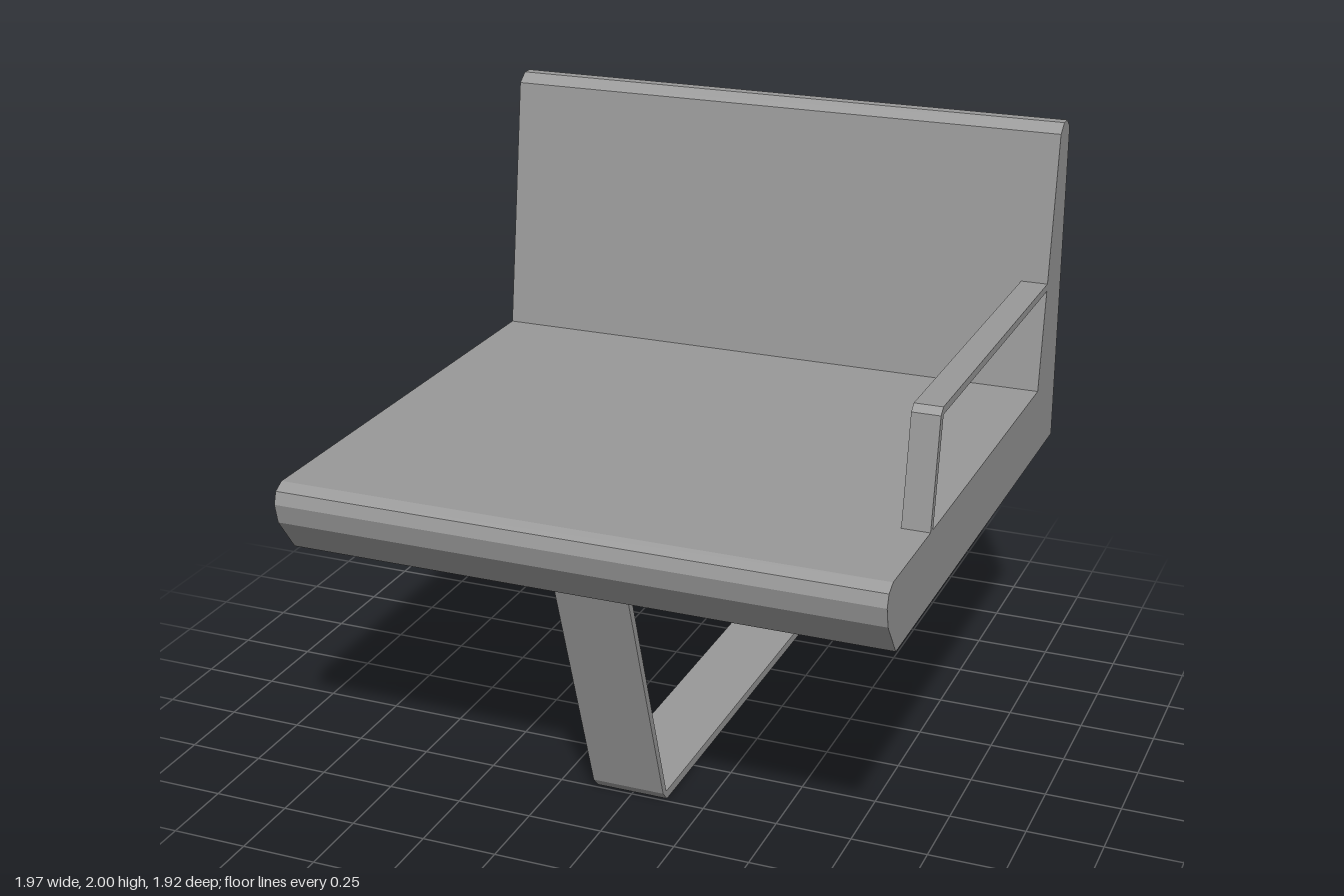
import * as THREE from 'three';

// Extrudes a side profile of [z, y] points from x0 to x1.
function sideProfile(name, points, x0, x1, material) {
  const shape = new THREE.Shape(points.map(([z, y]) => new THREE.Vector2(-z, y)));
  const geometry = new THREE.ExtrudeGeometry(shape, { depth: x1 - x0, bevelEnabled: false });
  geometry.rotateY(Math.PI / 2).translate(x0, 0, 0);
  const mesh = new THREE.Mesh(geometry, material);
  mesh.name = name;
  return mesh;
}

export function createModel() {
  const group = new THREE.Group();
  group.name = 'benchSeat';
  const grey = new THREE.MeshStandardMaterial({ color: 0x999999, flatShading: true });
  grey.name = 'grey';

  // Seat cushion with rounded nose, continuing into the tapered backrest
  group.add(sideProfile('seatAndBackrest', [
    [0.86, 0.87], [0.945, 0.985], [0.96, 1.05], [0.947, 1.09], [0.91, 1.11],
    [-0.72, 1.11], [-0.84, 1.97], [-0.88, 2], [-0.92, 2], [-0.96, 1.97], [-0.96, 0.87],
  ], -0.985, 0.98, grey));

  // Flat-bar armrest on the left side only
  group.add(sideProfile('armrest', [
    [0.545, 1.11], [0.485, 1.455], [0.462, 1.475], [-0.775, 1.475],
    [-0.775, 1.45], [0.458, 1.45], [0.52, 1.11],
  ], 0.89, 0.98, grey));

  // Flat-bar loop leg: sloping front, floor bar and upright rear
  group.add(sideProfile('legLoop', [
    [0.795, 0.87], [0.517, 0.035], [0.485, 0], [-0.93, 0], [-0.96, 0.03], [-0.96, 0.87],
    [-0.932, 0.87], [-0.932, 0.03], [0.49, 0.03], [0.768, 0.87],
  ], -0.127, 0.118, grey));

  return group;
}
